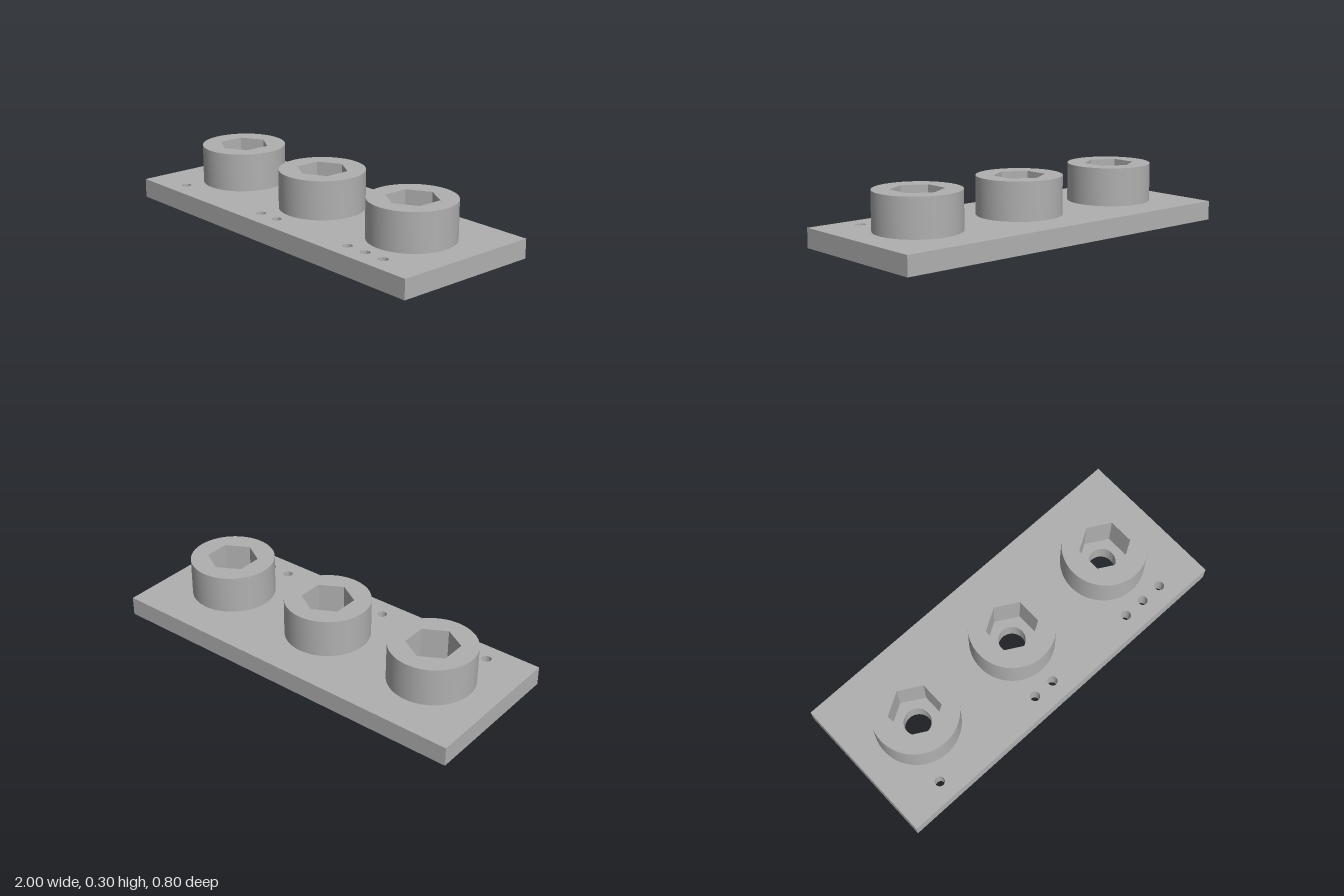
import * as THREE from 'three';
import { toCreasedNormals } from 'three/addons/utils/BufferGeometryUtils.js';

const PLATE_HEIGHT = 0.1;
const BOSS_HEIGHT = 0.2;

// Circular hole at plan position (x, z)
function roundHole(x, z, radius) {
  return new THREE.Path().absarc(x, -z, radius, 0, Math.PI * 2, true);
}

// Extrude a plan shape upward, with smooth round walls and sharp edges
function extrudeUp(shape, height) {
  const geometry = new THREE.ExtrudeGeometry(shape, { depth: height, bevelEnabled: false, curveSegments: 32 });
  geometry.rotateX(-Math.PI / 2);
  return toCreasedNormals(geometry, 0.5);
}

export function createModel() {
  const model = new THREE.Group();
  model.name = 'nutSocketGauge';
  const gray = new THREE.MeshStandardMaterial({ name: 'gray', color: 0xb0b0b0 });

  // Each station has a socket and a number of marker holes
  const stations = [
    { x: -0.64, marks: [-0.76] },
    { x: 0, marks: [-0.12, 0] },
    { x: 0.64, marks: [0.52, 0.64, 0.76] },
  ];

  // Base plate with bolt holes and marker holes
  const plateShape = new THREE.Shape([
    new THREE.Vector2(-1, -0.4), new THREE.Vector2(1, -0.4),
    new THREE.Vector2(1, 0.4), new THREE.Vector2(-1, 0.4),
  ]);
  for (const { x, marks } of stations) {
    plateShape.holes.push(roundHole(x, 0, 0.07));
    for (const mark of marks) plateShape.holes.push(roundHole(mark, 0.3, 0.025));
  }
  const plate = new THREE.Mesh(extrudeUp(plateShape, PLATE_HEIGHT), gray);
  plate.name = 'basePlate';
  model.add(plate);

  // Round boss with a hexagonal pocket, corners pointing front and back
  const bossShape = new THREE.Shape().absarc(0, 0, 0.22, 0, Math.PI * 2, false);
  const hexagon = [];
  for (let i = 0; i < 6; i++) {
    const angle = Math.PI / 2 - i * Math.PI / 3;
    hexagon.push(new THREE.Vector2(Math.cos(angle) * 0.133, Math.sin(angle) * 0.133));
  }
  bossShape.holes.push(new THREE.Path(hexagon));
  const bossGeometry = extrudeUp(bossShape, BOSS_HEIGHT);

  stations.forEach(({ x }, i) => {
    const boss = new THREE.Mesh(bossGeometry, gray);
    boss.name = `hexSocket${i + 1}`;
    boss.position.set(x, PLATE_HEIGHT, 0);
    model.add(boss);
  });

  return model;
}
